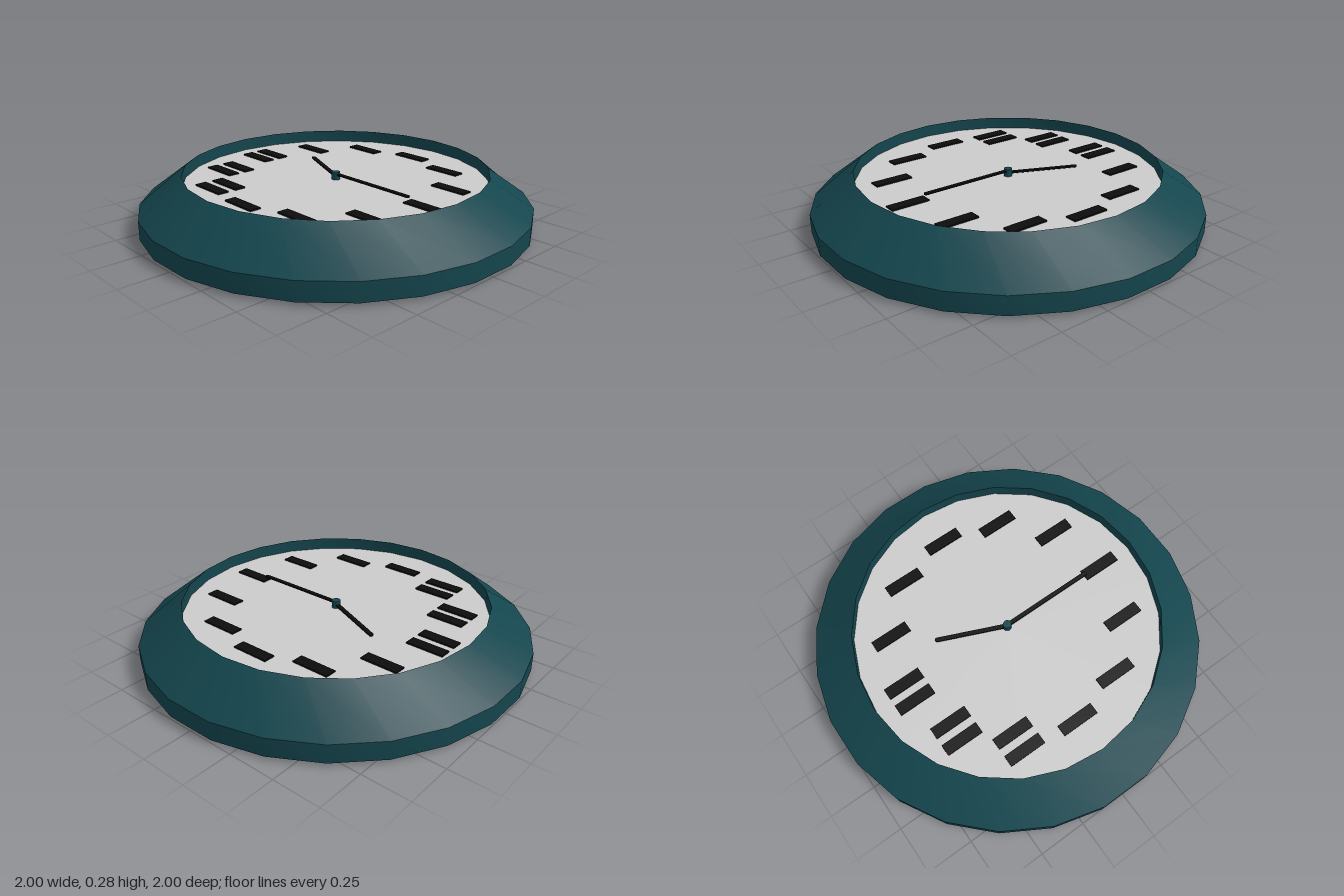
import * as THREE from 'three';
import { toCreasedNormals } from 'three/addons/utils/BufferGeometryUtils.js';

const material = (color) => new THREE.MeshStandardMaterial({ color });

export function createModel() {
  const clock = new THREE.Group();
  clock.name = 'wallClock';
  const teal = material(0x14454d);
  const grey = material(0xcccccc);
  const black = material(0x0c0c0c);

  const add = (name, geometry, mat, x = 0, y = 0, z = 0, parent = clock) => {
    const mesh = new THREE.Mesh(geometry, mat);
    mesh.name = name;
    mesh.position.set(x, y, z);
    parent.add(mesh);
    return mesh;
  };

  // Rim with its hollow back: the outer rings are turned half a side against the opening
  const sides = 24;
  const profile = [[0, 0.1], [0.8, 0.1], [0.87, 0.015], [1.009, 0.015],
    [1.009, 0.11], [0.785, 0.28], [0.785, 0.21]].map(([r, y]) => new THREE.Vector2(r, y));
  const rim = new THREE.LatheGeometry(profile, sides);
  const pos = rim.attributes.position;
  const v = new THREE.Vector3();
  const up = new THREE.Vector3(0, 1, 0);
  for (let i = 0; i < pos.count; i++) {
    v.fromBufferAttribute(pos, i);
    if (Math.hypot(v.x, v.z) > 0.95) v.applyAxisAngle(up, Math.PI / sides);
    pos.setXYZ(i, v.x, v.y, v.z);
  }
  add('rim', toCreasedNormals(rim, 0.5), teal);

  // Dial
  const dial = new THREE.CircleGeometry(0.785, sides).rotateX(-Math.PI / 2);
  add('dial', dial, grey, 0, 0.215, 0);

  // Upright hour markers, doubled for the last three hours
  const markers = new THREE.Group();
  markers.name = 'hourMarkers';
  clock.add(markers);
  for (let hour = 1; hour <= 12; hour++) {
    const a = (hour * Math.PI) / 6;
    const x = 0.595 * Math.sin(a);
    const z = -0.595 * Math.cos(a);
    const offsets = hour >= 10 ? [-0.05, 0.05] : [0];
    for (const dx of offsets) {
      add('hourMarker', new THREE.BoxGeometry(0.06, 0.008, 0.2), black, x + dx, 0.219, z, markers);
    }
  }

  // Hands: flat bars with round tips, running from the centre
  const addHand = (name, x, z, y) => {
    const length = Math.hypot(x, z);
    const w = 0.011;
    const shape = new THREE.Shape();
    shape.moveTo(-w, 0);
    shape.lineTo(w, 0);
    shape.lineTo(w, length - w);
    shape.absarc(0, length - w, w, 0, Math.PI);
    shape.closePath();
    const geometry = new THREE.ExtrudeGeometry(shape, { depth: 0.008, bevelEnabled: false, curveSegments: 6 });
    geometry.rotateX(-Math.PI / 2);
    const hand = add(name, geometry, black, 0, y, 0);
    hand.rotation.y = Math.atan2(-x, -z);
  };
  addHand('hourHand', 0.147, -0.345, 0.228);
  addHand('minuteHand', 0, 0.505, 0.238);
  add('centrePin', new THREE.CylinderGeometry(0.022, 0.022, 0.04, 16), teal, 0, 0.234, 0);

  // Movement box on the back, with its setting wheel and hanger
  add('movementBox', new THREE.BoxGeometry(0.6, 0.09, 0.6), black, 0, 0.063, 0);
  add('settingWheel', new THREE.CylinderGeometry(0.05, 0.05, 0.025, 20), grey, -0.17, 0.0125, 0.05);
  add('hangerDisc', new THREE.CylinderGeometry(0.042, 0.042, 0.008, 16), material(0x555555), 0.01, 0.017, -0.2);
  const bar = new THREE.CapsuleGeometry(0.015, 0.08, 4, 8).rotateX(Math.PI / 2).scale(1, 0.4, 1);
  add('hangerBar', bar, grey, 0.01, 0.014, -0.18);

  return clock;
}
